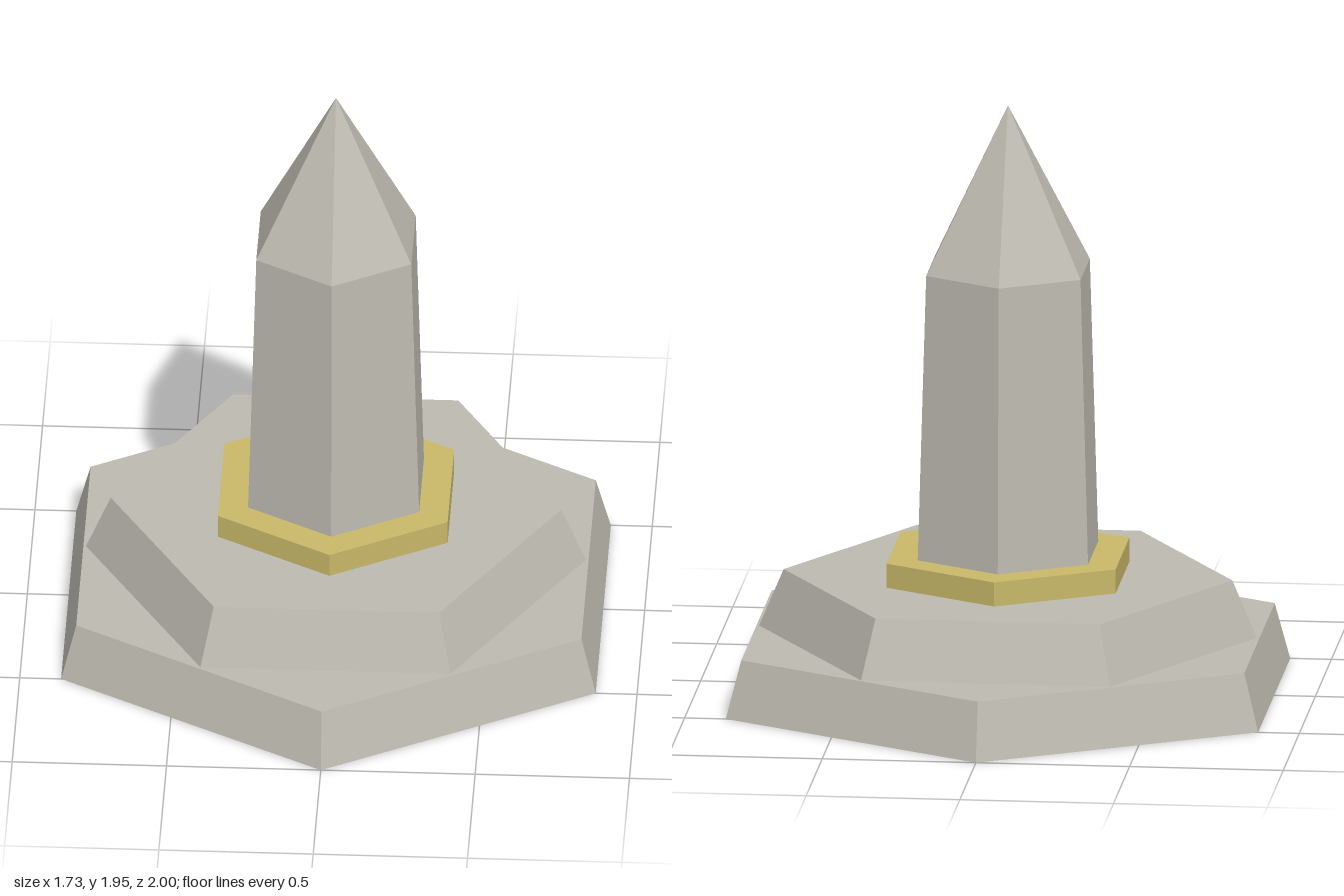
import * as THREE from 'three';

export function createModel() {
  const model = new THREE.Group();
  model.name = 'obelisk';

  const stone = new THREE.MeshStandardMaterial({ color: 0xbdbab0 });
  stone.name = 'pale stone';
  const brass = new THREE.MeshStandardMaterial({ color: 0xc8b868 });
  brass.name = 'brass';
  stone.flatShading = brass.flatShading = true;

  // Six-sided tapered block between two heights
  function hexBlock(name, material, bottomRadius, topRadius, y0, y1, turn = 0) {
    const geometry = new THREE.CylinderGeometry(topRadius, bottomRadius, y1 - y0, 6);
    const mesh = new THREE.Mesh(geometry, material);
    mesh.name = name;
    mesh.position.y = (y0 + y1) / 2;
    mesh.rotation.y = turn;
    model.add(mesh);
  }

  // Stepped plinth, upper step turned by half a side
  hexBlock('lowerStep', stone, 1, 0.945, 0, 0.19);
  hexBlock('upperStep', stone, 0.81, 0.73, 0.19, 0.38, Math.PI / 6);

  // Collar around the foot of the shaft
  hexBlock('collar', brass, 0.43, 0.43, 0.38, 0.46);

  // Tapered shaft and pointed cap
  hexBlock('shaft', stone, 0.32, 0.29, 0.46, 1.405);
  hexBlock('cap', stone, 0.29, 0, 1.405, 1.945);

  return model;
}
